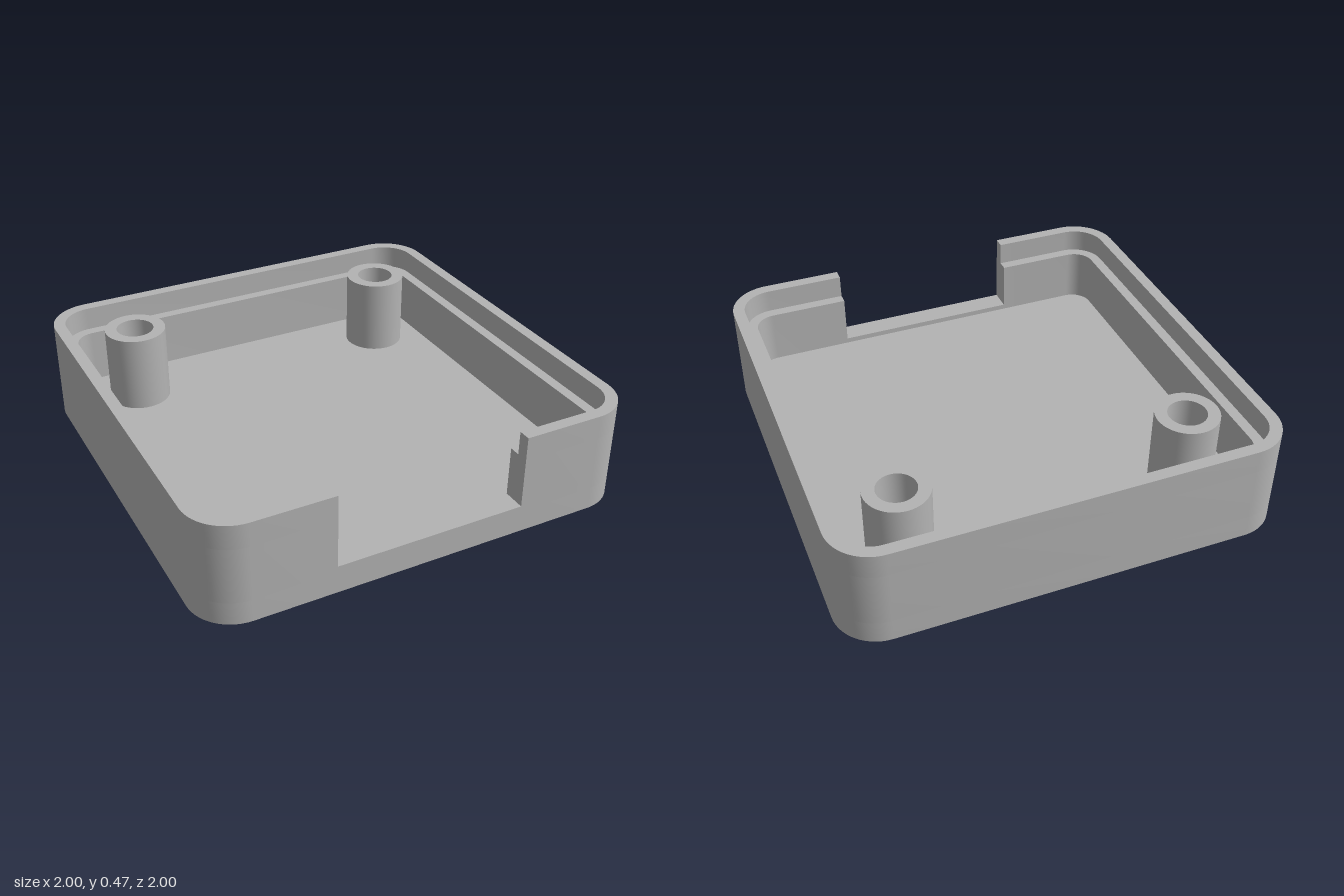
import * as THREE from 'three';
import { toCreasedNormals } from 'three/addons/utils/BufferGeometryUtils.js';

const NOTCH = 0.435;   // half width of the front opening
const FLOOR = 0.105, SILL = 0.13, LEDGE = 0.36, TOP = 0.47;
const WALL = 0.105, LIP = 0.055;
const POST_X = 0.655, POST_Z = -0.655;

// Rounded square, inset from the outside, running from one side of the notch round to the other
function outline(inset) {
  const half = 1 - inset, r = 0.2 - inset, points = [new THREE.Vector2(NOTCH, -half)];
  [[1, -1], [1, 1], [-1, 1], [-1, -1]].forEach(([sx, sy], corner) => {
    for (let i = 0; i <= 14; i++) {
      const a = (corner - 1 + i / 14) * Math.PI / 2;
      points.push(new THREE.Vector2(sx * 0.8 + r * Math.cos(a), sy * 0.8 + r * Math.sin(a)));
    }
  });
  points.push(new THREE.Vector2(-NOTCH, -half));
  return points;
}

// Extrude a plan shape upwards between two heights
function extrudeUp(shape, y0, y1) {
  const geometry = new THREE.ExtrudeGeometry(shape, { depth: y1 - y0, bevelEnabled: false, curveSegments: 32 });
  geometry.rotateX(-Math.PI / 2).translate(0, y0, 0);
  return toCreasedNormals(geometry, 0.5);
}

// Wall with the front opening left out
function openWall(thickness, y0, y1) {
  return extrudeUp(new THREE.Shape([...outline(0), ...outline(thickness).reverse()]), y0, y1);
}

export function createModel() {
  const model = new THREE.Group();
  model.name = 'enclosureTray';
  const grey = new THREE.MeshStandardMaterial({ color: 0xb3b3b3 });
  grey.name = 'grey plastic';

  const add = (name, geometry) => {
    const mesh = new THREE.Mesh(geometry, grey);
    mesh.name = name;
    model.add(mesh);
    return mesh;
  };

  // Floor with openings for the screw holes
  const plan = new THREE.Shape(outline(0));
  for (const side of [-1, 1]) {
    plan.holes.push(new THREE.Path().absarc(side * POST_X, -POST_Z, 0.141, 0, Math.PI * 2, true));
  }
  add('floor', extrudeUp(plan, 0, FLOOR));

  // Thick lower wall forms the ledge, thin lip stands on its outer edge
  add('wall', openWall(WALL, FLOOR, LEDGE));
  add('lip', openWall(LIP, LEDGE, TOP));

  // Low sill across the front opening
  const sill = add('sill', new THREE.BoxGeometry(2 * NOTCH, SILL - FLOOR, WALL));
  sill.position.set(0, (SILL + FLOOR) / 2, 1 - WALL / 2);

  // Hollow screw posts, countersunk from below
  const profile = [[0.143, FLOOR], [0.143, 0.465], [0.087, 0.465], [0.087, 0.054], [0.141, 0]]
    .map(([r, y]) => new THREE.Vector2(r, y));
  const post = toCreasedNormals(new THREE.LatheGeometry(profile, 48), 0.5);
  for (const [name, side] of [['leftScrewPost', 1], ['rightScrewPost', -1]]) {
    add(name, post).position.set(side * POST_X, 0, POST_Z);
  }
  return model;
}
